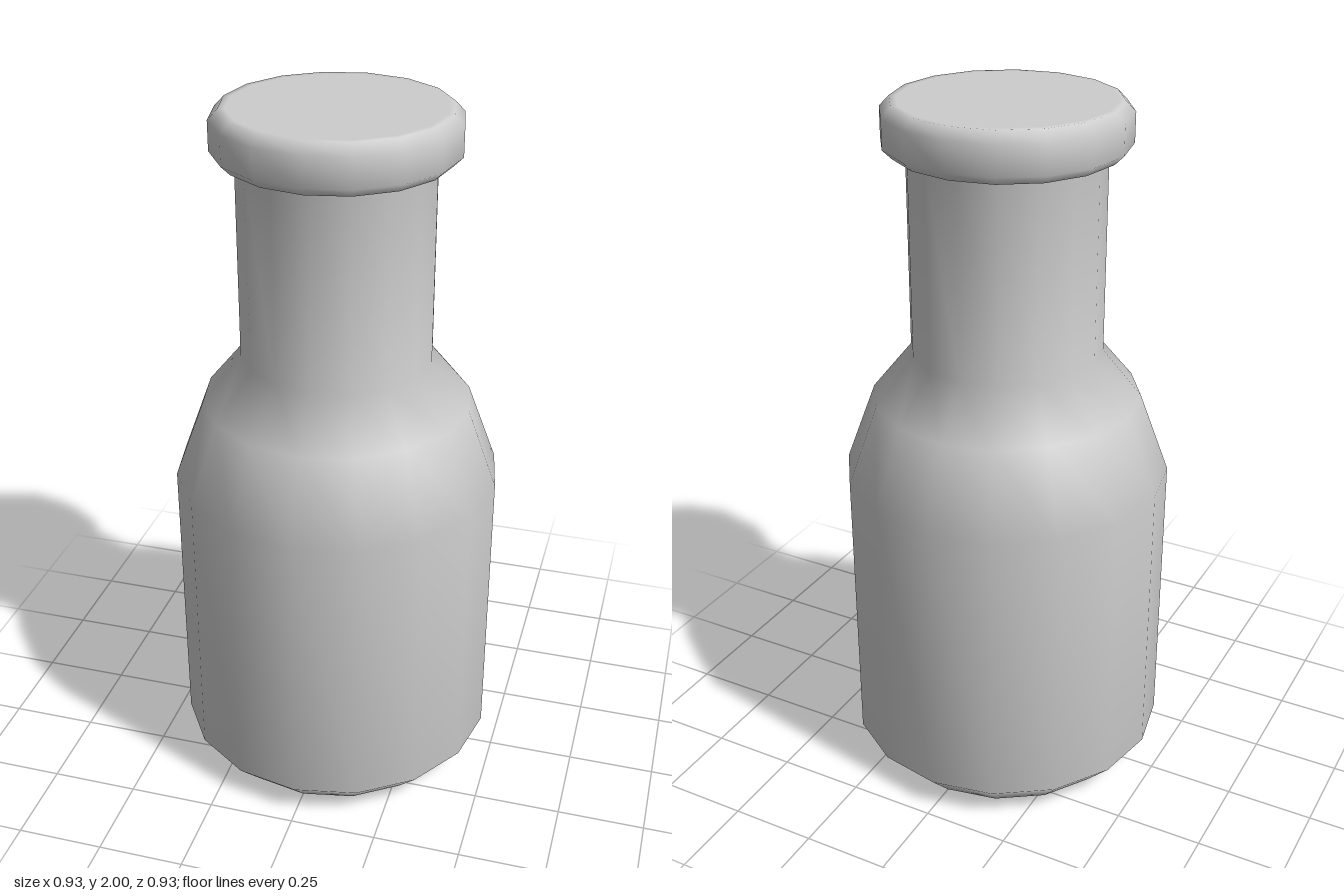
import * as THREE from 'three';

const SIDES = 16;

// Smooth turned part from [radius, height] pairs, listed bottom to top
function turned(name, profile, material) {
  const points = profile.map(([r, y]) => new THREE.Vector2(r, y));
  const mesh = new THREE.Mesh(new THREE.LatheGeometry(points, SIDES), material);
  mesh.name = name;
  return mesh;
}

export function createModel() {
  const group = new THREE.Group();
  group.name = 'bottle';

  const grey = new THREE.MeshStandardMaterial({ color: 0xcccccc });
  grey.name = 'light grey';

  // Base, straight wall, shoulder, neck and the underside of the lip
  group.add(turned('bottleBody', [
    [0, 0], [0.38, 0], [0.465, 0.09], [0.465, 0.935],
    [0.38, 1.165], [0.27, 1.3], [0.27, 1.865], [0.31, 1.865],
  ], grey));

  // Bevelled lip; the narrow inner ring keeps the top disc flat
  group.add(turned('cap', [
    [0.31, 1.865], [0.335, 1.89], [0.335, 1.972], [0.308, 2], [0.29, 2], [0, 2],
  ], grey));

  return group;
}
